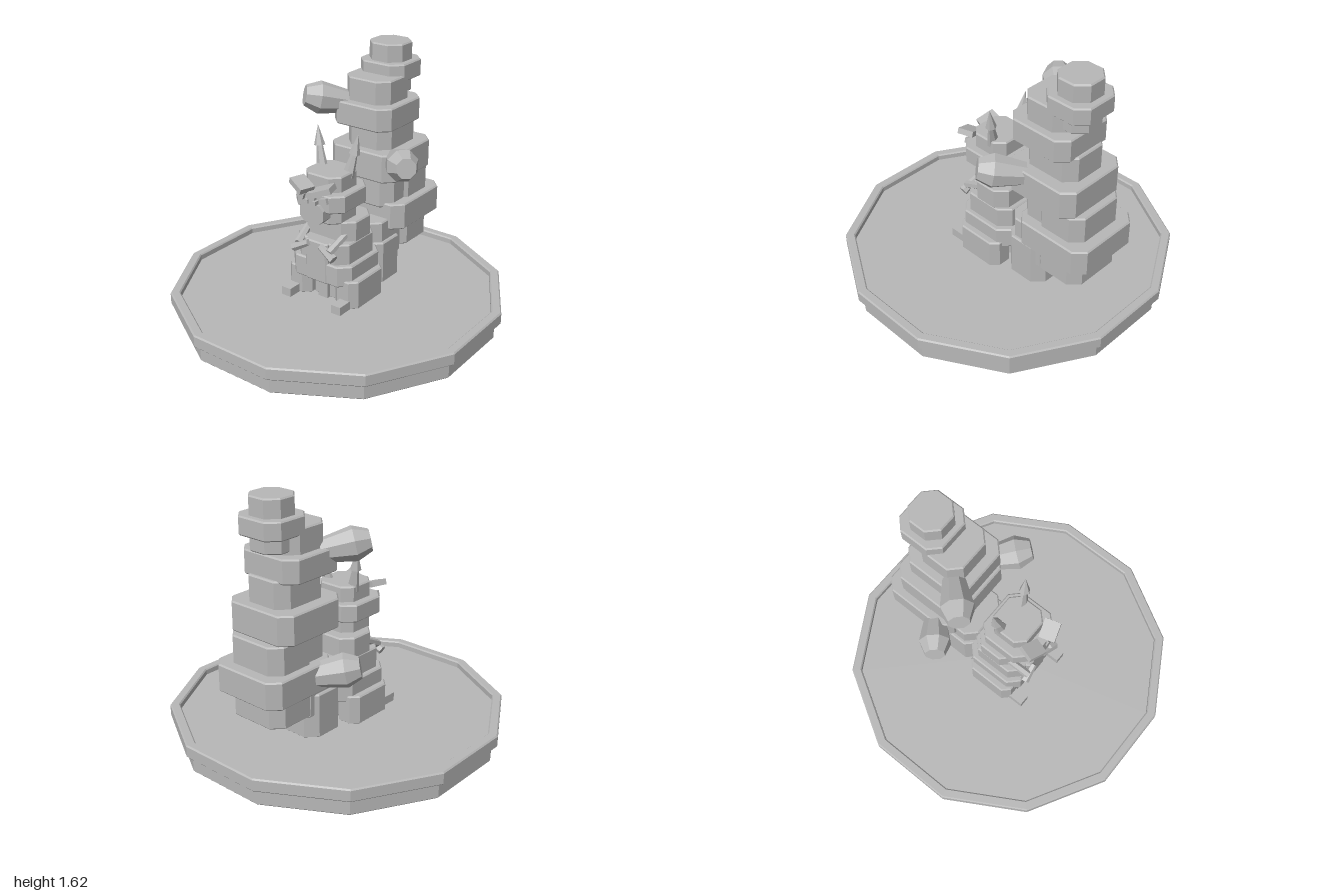
import * as THREE from 'three';

const stone = new THREE.MeshStandardMaterial({ color: 0xb8b8b8, flatShading: true });
stone.name = 'grey stone';

function add(parent, name, geometry) {
  const mesh = new THREE.Mesh(geometry, stone);
  mesh.name = name;
  parent.add(mesh);
  return mesh;
}

// Upright block with cut corners and a fine bevel on the top and bottom edges
function block(parent, name, x, y0, y1, zBack, zFront, cut = 0.06, cx = 0) {
  const b = 0.008, w = x - b, d = (zFront - zBack) / 2 - b;
  const c = Math.min(cut, w * 0.6, d * 0.6);
  const s = new THREE.Shape([
    [w, -d + c], [w, d - c], [w - c, d], [-w + c, d],
    [-w, d - c], [-w, -d + c], [-w + c, -d], [w - c, -d],
  ].map(([px, py]) => new THREE.Vector2(px, py)));
  const g = new THREE.ExtrudeGeometry(s, {
    depth: y1 - y0 - 2 * b, bevelEnabled: true, bevelSize: b, bevelThickness: b, bevelSegments: 1,
  });
  g.rotateX(-Math.PI / 2);
  g.translate(cx, y0 + b, (zBack + zFront) / 2);
  return add(parent, name, g);
}

// Tapered rod between two points
function rod(parent, name, from, to, r0, r1, sides = 6) {
  const a = new THREE.Vector3(...from), b = new THREE.Vector3(...to);
  const dir = b.clone().sub(a);
  const mesh = add(parent, name, new THREE.CylinderGeometry(r1, r0, dir.length(), sides));
  mesh.position.copy(a).add(b).multiplyScalar(0.5);
  mesh.quaternion.setFromUnitVectors(new THREE.Vector3(0, 1, 0), dir.normalize());
  return mesh;
}

function box(parent, name, w, h, d, pos, rot = [0, 0, 0]) {
  const mesh = add(parent, name, new THREE.BoxGeometry(w, h, d));
  mesh.position.set(...pos);
  mesh.rotation.set(...rot);
  return mesh;
}

// Eight-sided stub that swells to a collar and tapers to a blunt cap
function stub(parent, from, to) {
  const a = new THREE.Vector3(...from), b = new THREE.Vector3(...to);
  const dir = b.clone().sub(a), l = dir.length();
  const profile = [[0, 0], [0.068, 0], [0.102, l * 0.68], [0.064, l], [0, l]]
    .map(([r, y]) => new THREE.Vector2(r, y));
  const mesh = add(parent, 'branchStub', new THREE.LatheGeometry(profile, 8, Math.PI / 8));
  mesh.position.copy(a);
  mesh.quaternion.setFromUnitVectors(new THREE.Vector3(0, 1, 0), dir.normalize());
}

export function createModel() {
  const model = new THREE.Group();
  model.name = 'totemStatue';

  // Twelve-sided plinth with a raised rim and sunken floor
  const rim = [
    [0, 0], [0.99, 0], [0.998, 0.008], [0.998, 0.105], [1.027, 0.105], [1.035, 0.113],
    [1.035, 0.177], [1.027, 0.185], [0.982, 0.185], [0.974, 0.177], [0.974, 0.145], [0, 0.145],
  ].map(([r, y]) => new THREE.Vector2(r, y));
  add(model, 'plinth', new THREE.LatheGeometry(rim, 12, Math.PI / 12));

  // Rear tower of stacked blocks: half width, bottom, top, back, front
  const tower = new THREE.Group();
  tower.name = 'tower';
  model.add(tower);
  [
    [0.19, 0.14, 0.42, -0.44, -0.15],
    [0.17, 0.285, 0.55, -0.49, -0.16],
    [0.20, 0.32, 0.82, -0.73, -0.40],
    [0.25, 0.48, 0.65, -0.80, -0.29],
    [0.18, 0.62, 0.87, -0.62, -0.27],
    [0.24, 0.82, 1.00, -0.69, -0.20],
    [0.16, 0.99, 1.16, -0.63, -0.26],
    [0.21, 1.145, 1.29, -0.61, -0.18],
    [0.16, 1.28, 1.435, -0.55, -0.24],
    [0.12, 1.305, 1.41, -0.65, -0.42],
    [0.16, 1.395, 1.505, -0.69, -0.38],
    [0.12, 1.495, 1.615, -0.65, -0.415],
  ].forEach((p) => block(tower, 'towerBlock', ...p));

  stub(tower, [-0.13, 1.26, -0.29], [-0.32, 1.315, -0.09]);
  stub(tower, [0.19, 0.945, -0.32], [0.39, 0.99, -0.14]);
  stub(tower, [-0.20, 0.57, -0.43], [-0.40, 0.62, -0.26]);

  // Seated figure in front of the tower
  const figure = new THREE.Group();
  figure.name = 'figure';
  model.add(figure);
  block(figure, 'pelvis', 0.10, 0.14, 0.32, -0.12, 0.13, 0.02);
  block(figure, 'hips', 0.22, 0.285, 0.42, -0.18, 0.22);
  block(figure, 'waist', 0.19, 0.41, 0.55, -0.16, 0.205);
  block(figure, 'chest', 0.19, 0.54, 0.675, -0.13, 0.14);
  block(figure, 'headCore', 0.13, 0.665, 0.965, -0.06, 0.195, 0.05);
  block(figure, 'headBand', 0.18, 0.76, 0.87, -0.10, 0.24);
  block(figure, 'bellyPanel', 0.085, 0.285, 0.55, 0.15, 0.226, 0.01);
  box(figure, 'loinPanel', 0.07, 0.14, 0.03, [0, 0.215, 0.14]);

  // Cut-corner muzzle facing forward
  const w = 0.085, h = 0.06, c = 0.03;
  const muzzle = new THREE.Shape([
    [w, -h + c], [w, h - c], [w - c, h], [-w + c, h],
    [-w, h - c], [-w, -h + c], [-w + c, -h], [w - c, -h],
  ].map(([x, y]) => new THREE.Vector2(x, y)));
  const muzzleGeometry = new THREE.ExtrudeGeometry(muzzle, { depth: 0.08, bevelEnabled: false });
  muzzleGeometry.translate(0, 0.745, 0.18);
  add(figure, 'muzzle', muzzleGeometry);
  box(figure, 'noseBridge', 0.05, 0.07, 0.05, [0, 0.84, 0.24]);

  // Mirrored parts
  for (const s of [-1, 1]) {
    block(figure, 'leg', 0.085, 0.14, 0.325, -0.14, 0.19, 0.04, s * 0.175);
    box(figure, 'toe', 0.068, 0.055, 0.11, [s * 0.19, 0.172, 0.225]);
    box(figure, 'brow', 0.12, 0.035, 0.10, [s * 0.08, 0.905, 0.245], [0, s * 0.3, s * 0.36]);
    box(figure, 'eye', 0.05, 0.035, 0.03, [s * 0.085, 0.84, 0.245], [0, 0, s * 0.25]);
    box(figure, 'nostril', 0.022, 0.025, 0.04, [s * 0.028, 0.82, 0.255]);

    const stem = rod(figure, 'hornStem', [s * 0.095, 0.93, 0.03], [s * 0.13, 1.08, 0.012], 0.042, 0.02);
    stem.scale.z = 0.6;
    rod(figure, 'hornTip', [s * 0.128, 1.07, 0.013], [s * 0.148, 1.19, 0.003], 0.034, 0.001);

    rod(figure, 'forearm', [s * 0.135, 0.59, 0.10], [s * 0.115, 0.515, 0.245], 0.022, 0.026);
    rod(figure, 'hand', [s * 0.045, 0.535, 0.235], [s * 0.15, 0.48, 0.245], 0.02, 0.03);
  }
  return model;
}
